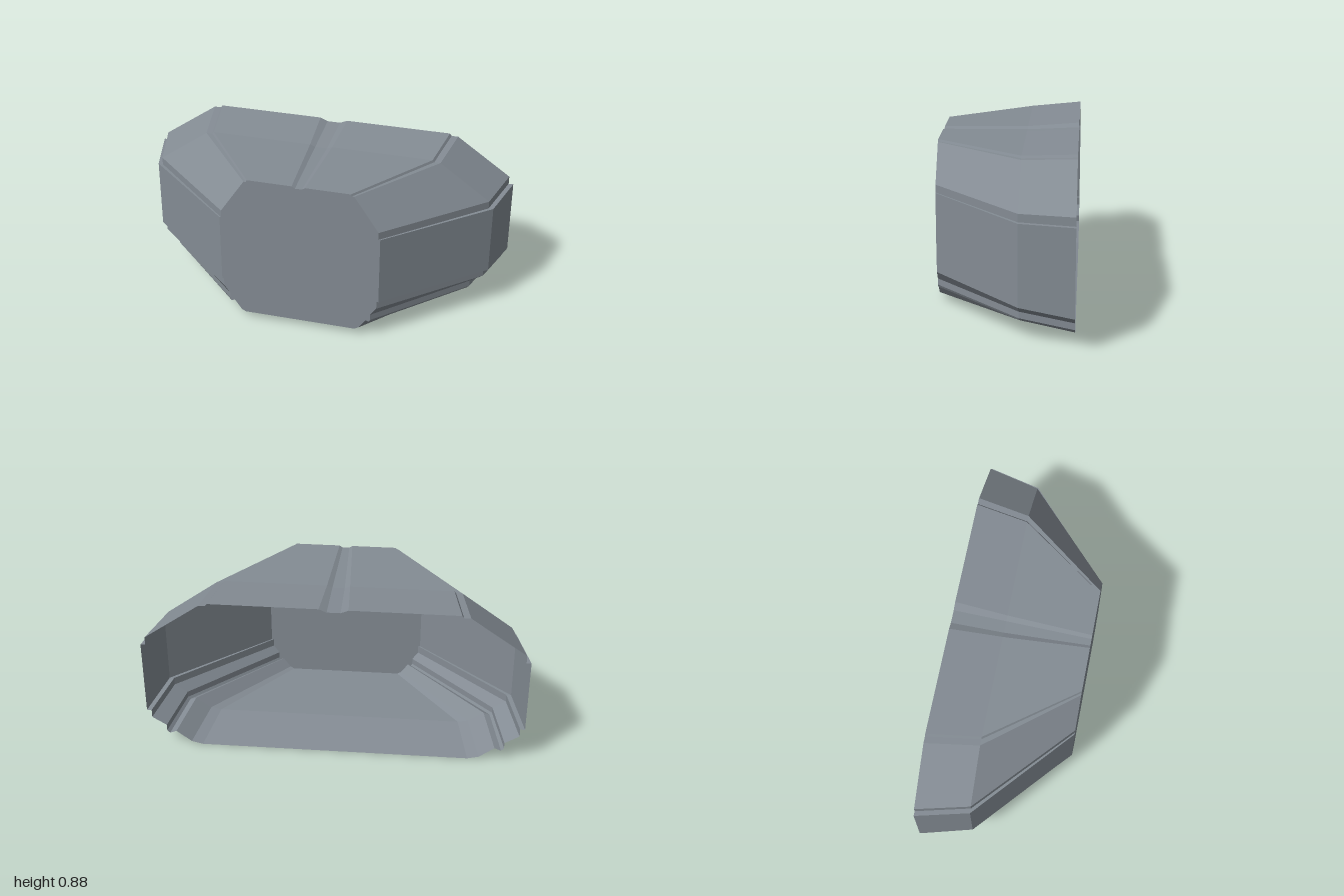
import * as THREE from 'three';

const material = new THREE.MeshStandardMaterial({ color: 0x848c94, side: THREE.DoubleSide });

// Half outlines [x, y] from the top groove round to the underside
const back = [
  [0.035, 0.866], [0.075, 0.883], [0.64, 0.883], [0.65, 0.87], [0.685, 0.87],
  [0.975, 0.667], [0.975, 0.623], [1, 0.623], [1, 0.21], [0.975, 0.21], [0.975, 0.165],
  [0.9, 0.117], [0.9, 0.082], [0.885, 0.066], [0.85, 0.08], [0.77, 0.018], [0.71, 0.003],
];
const middle = [
  [0.032, 0.852], [0.06, 0.863], [0.598, 0.863], [0.607, 0.852], [0.64, 0.852],
  [0.907, 0.66], [0.907, 0.619], [0.932, 0.619], [0.932, 0.235], [0.907, 0.235], [0.907, 0.192],
  [0.838, 0.147], [0.838, 0.113], [0.825, 0.1], [0.792, 0.11], [0.71, 0.052], [0.655, 0.04],
];
const front = [
  [0.018, 0.852], [0.035, 0.863], [0.27, 0.863], [0.275, 0.852], [0.288, 0.852],
  [0.416, 0.66], [0.416, 0.619], [0.426, 0.619], [0.426, 0.235], [0.416, 0.235], [0.416, 0.192],
  [0.385, 0.147], [0.385, 0.113], [0.378, 0.1], [0.36, 0.107], [0.322, 0.052], [0.3, 0.04],
];

const mirror = (half) => [...half, ...half.map(([x, y]) => [-x, y]).reverse()];

// Skin between two closed outlines, each panel evenly shaded with one normal
function loft(a, za, b, zb) {
  const positions = [];
  const normals = [];
  for (let i = 0; i < a.length; i++) {
    const j = (i + 1) % a.length;
    const [p, q, r, s] = [[...a[i], za], [...b[i], zb], [...b[j], zb], [...a[j], za]]
      .map((c) => new THREE.Vector3(...c));
    const normal = r.clone().sub(p).cross(s.clone().sub(q)).normalize();
    for (const corner of [p, q, r, p, r, s]) {
      positions.push(...corner);
      normals.push(...normal);
    }
  }
  const geometry = new THREE.BufferGeometry();
  geometry.setAttribute('position', new THREE.Float32BufferAttribute(positions, 3));
  geometry.setAttribute('normal', new THREE.Float32BufferAttribute(normals, 3));
  return geometry;
}

export function createModel() {
  const model = new THREE.Group();
  model.name = 'facetedShell';
  const add = (name, geometry) => {
    const mesh = new THREE.Mesh(geometry, material);
    mesh.name = name;
    model.add(mesh);
  };
  const [b, m, f] = [back, middle, front].map(mirror);

  // Open-backed shell in two stepped sections
  add('rearShell', loft(b, -0.36, m, -0.085));
  add('frontShell', loft(m, -0.085, f, 0.36));

  // Flat front plate
  const outline = new THREE.Shape(f.map(([x, y]) => new THREE.Vector2(x, y)));
  add('frontPlate', new THREE.ShapeGeometry(outline).translate(0, 0, 0.36));
  return model;
}
